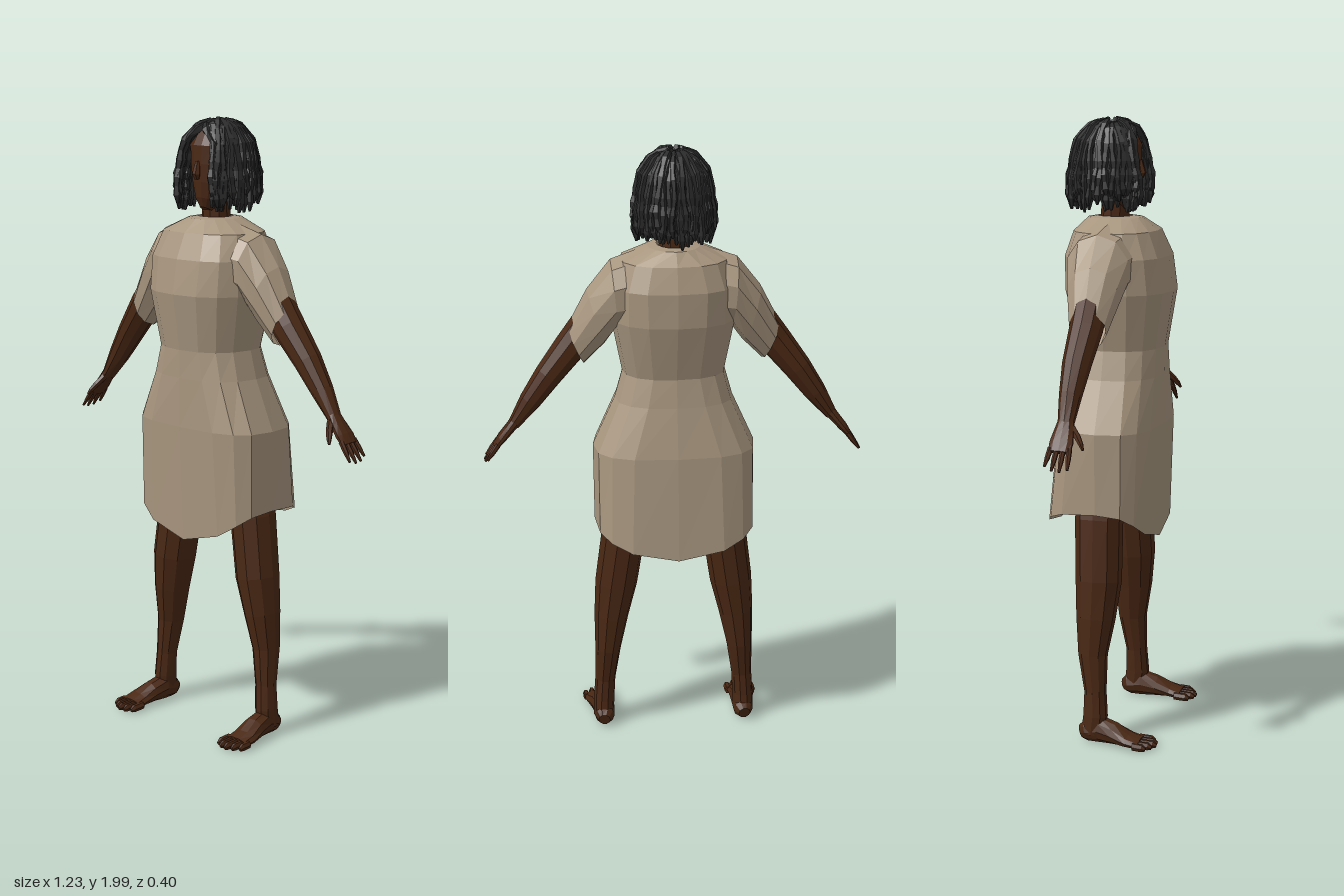
import * as THREE from 'three';

const V3 = (x, y, z) => new THREE.Vector3(x, y, z);
const cloth = new THREE.MeshStandardMaterial({ color: 0xa8967f, flatShading: true, side: THREE.DoubleSide });
const skin = new THREE.MeshStandardMaterial({ color: 0x4a2814, flatShading: true });
const hairMat = new THREE.MeshStandardMaterial({ color: 0x2b2b2c, flatShading: true });

// Skin a list of equal-sized rings; ends can be capped
function loft(rings, capped = true) {
  const n = rings[0].length, pos = [], idx = [];
  rings.forEach(r => r.forEach(p => pos.push(p.x, p.y, p.z)));
  for (let i = 0; i < rings.length - 1; i++) {
    for (let j = 0; j < n; j++) {
      const a = i * n + j, b = i * n + (j + 1) % n;
      idx.push(a, b, b + n, a, b + n, a + n);
    }
  }
  if (capped) {
    [0, rings.length - 1].forEach((i, end) => {
      const c = rings[i].reduce((s, p) => s.add(p), V3(0, 0, 0)).divideScalar(n);
      const k = pos.length / 3;
      pos.push(c.x, c.y, c.z);
      for (let j = 0; j < n; j++) {
        const a = i * n + j, b = i * n + (j + 1) % n;
        if (end) idx.push(k, a, b); else idx.push(k, b, a);
      }
    });
  }
  const g = new THREE.BufferGeometry();
  g.setAttribute('position', new THREE.Float32BufferAttribute(pos, 3));
  g.setIndex(idx);
  g.computeVertexNormals();
  return g;
}

// Limb along stations [x, y, z, half width, half depth]; depth runs along ref
function limb(stations, sides = 10, ref = V3(0, 0, 1)) {
  const c = stations.map(s => V3(s[0], s[1], s[2]));
  return loft(stations.map((s, i) => {
    const d = c[Math.min(i + 1, c.length - 1)].clone().sub(c[Math.max(i - 1, 0)]).normalize();
    const v = ref.clone().addScaledVector(d, -ref.dot(d)).normalize();
    const u = v.clone().cross(d);
    return Array.from({ length: sides }, (_, j) => {
      const t = j / sides * Math.PI * 2;
      return c[i].clone().addScaledVector(u, s[3] * Math.cos(t)).addScaledVector(v, s[4] * Math.sin(t));
    });
  }));
}

export function createModel() {
  const model = new THREE.Group();
  model.name = 'womanInDress';
  const add = (name, geo, mat, parent = model) => {
    const m = new THREE.Mesh(geo, mat);
    m.name = name;
    parent.add(m);
    return m;
  };
  const UP = V3(0, 1, 0);

  // Dress body: squarish rings [y, half width, front z, back z, squareness]
  const levels = [
    [0.76, 0.26, 0.14, -0.2, 3.4], [1.02, 0.262, 0.155, -0.17, 3], [1.18, 0.19, 0.155, -0.135, 2.6],
    [1.27, 0.165, 0.155, -0.12, 2.4], [1.45, 0.2, 0.183, -0.16, 2.4], [1.56, 0.195, 0.165, -0.16, 2.6],
    [1.64, 0.17, 0.13, -0.135, 2.4], [1.68, 0.085, 0.08, -0.1, 2], [1.685, 0.055, 0.045, -0.07, 2],
  ];
  add('dress', loft(levels.map(([y, w, zf, zb, n], i) => Array.from({ length: 16 }, (_, j) => {
    const t = j / 16 * Math.PI * 2, c = Math.cos(t), s = Math.sin(t);
    const x = -w * Math.sign(c) * Math.abs(c) ** (2 / n);
    const z = (s > 0 ? zf : -zb) * Math.sign(s) * Math.abs(s) ** (2 / n);
    // The hem dips at the front and back
    const dip = i ? 0 : (s > 0 ? 0.117 : 0.08) * (1 - (x / w) ** 2);
    return V3(x, y - dip, z);
  })), false), cloth);

  // Hips hidden under the skirt
  add('hips', limb([[0, 0.82, -0.01, 0.1, 0.07], [0, 0.92, -0.01, 0.17, 0.11], [0, 1.05, -0.01, 0.17, 0.11], [0, 1.2, 0, 0.12, 0.09]]), skin);

  for (const s of [1, -1]) {
    const side = s > 0 ? 'left' : 'right';
    const part = (name, st, ref, sides) =>
      add(side + name, limb(st.map(([x, ...r]) => [x * s, ...r]), sides, ref), skin);

    // Sleeve: [top x, top y, underside x, underside y, half depth, centre z]
    const sleeve = [
      [0.12, 1.665, 0.12, 1.42, 0.11, 0], [0.2, 1.64, 0.18, 1.42, 0.105, -0.01],
      [0.275, 1.545, 0.22, 1.365, 0.085, -0.008], [0.34, 1.42, 0.285, 1.3, 0.06, -0.004],
    ];
    add(side + 'Sleeve', loft(sleeve.map(([tx, ty, bx, by, d, z]) => Array.from({ length: 10 }, (_, j) => {
      const t = j / 10 * Math.PI * 2, c = Math.cos(t) / 2;
      return V3(s * ((tx + bx) / 2 + (tx - bx) * c), (ty + by) / 2 + (ty - by) * c, z + s * d * Math.sin(t));
    })), false), cloth);

    // Arm and hand
    part('Arm', [
      [0.17, 1.56, 0, 0.055, 0.06], [0.25, 1.46, -0.005, 0.056, 0.055], [0.325, 1.36, -0.005, 0.053, 0.052],
      [0.4, 1.265, -0.01, 0.045, 0.045], [0.46, 1.18, -0.01, 0.036, 0.035], [0.515, 1.1, -0.007, 0.02, 0.025],
    ]);
    part('Palm', [
      [0.505, 1.115, -0.007, 0.02, 0.025], [0.53, 1.085, -0.007, 0.017, 0.032],
      [0.555, 1.055, -0.007, 0.015, 0.038], [0.575, 1.03, -0.008, 0.01, 0.036],
    ]);
    [[-0.037, -0.045, 0.8], [-0.017, -0.021, 0.97], [0.003, 0.004, 1], [0.022, 0.028, 0.9]].forEach(([z0, z1, k], i) =>
      part('Finger' + (i + 1), [
        [0.567, 1.04, z0, 0.009, 0.009], [0.567 + 0.024 * k, 1.04 - 0.033 * k, (z0 + z1) / 2, 0.008, 0.008],
        [0.567 + 0.045 * k, 1.04 - 0.062 * k, z1, 0.004, 0.004],
      ], undefined, 6));
    part('Thumb', [
      [0.515, 1.095, 0.012, 0.012, 0.012], [0.53, 1.07, 0.035, 0.011, 0.011],
      [0.542, 1.05, 0.05, 0.009, 0.008], [0.55, 1.035, 0.058, 0.004, 0.004],
    ], undefined, 6);

    // Leg
    part('Leg', [
      [0.09, 0.95, -0.01, 0.085, 0.09], [0.165, 0.72, -0.015, 0.073, 0.078], [0.192, 0.53, -0.008, 0.07, 0.075],
      [0.21, 0.41, -0.012, 0.057, 0.064], [0.223, 0.29, -0.018, 0.043, 0.048], [0.233, 0.17, -0.007, 0.034, 0.036],
      [0.238, 0.09, -0.005, 0.035, 0.04], [0.24, 0.03, -0.012, 0.034, 0.04],
    ]);

    // Foot and toes
    part('Foot', [
      [0.24, 0.03, -0.054, 0.02, 0.022], [0.238, 0.036, -0.035, 0.033, 0.035], [0.238, 0.045, 0.01, 0.036, 0.044],
      [0.243, 0.037, 0.06, 0.04, 0.035], [0.25, 0.024, 0.11, 0.046, 0.022], [0.25, 0.017, 0.15, 0.047, 0.016],
    ], UP);
    [0.187, 0.2, 0.203, 0.193, 0.178].forEach((tip, i) => {
      const x = 0.207 + 0.0215 * i, r = i ? 0.0095 : 0.012;
      part('Toe' + (i + 1), [
        [x, 0.017, 0.135, r, 0.013], [x, 0.015, tip - 0.012, r, 0.013], [x, 0.011, tip, r * 0.55, 0.007],
      ], UP, 6);
    });
  }

  // Neck and head
  add('neck', limb([[0, 1.6, -0.02, 0.06, 0.06], [0, 1.67, -0.013, 0.047, 0.045], [0, 1.78, -0.008, 0.045, 0.045]]), skin);
  add('head', limb([
    [0, 1.705, 0.03, 0.02, 0.026], [0, 1.73, 0.018, 0.042, 0.05], [0, 1.78, 0.003, 0.06, 0.07],
    [0, 1.84, -0.008, 0.072, 0.083], [0, 1.9, -0.015, 0.077, 0.09], [0, 1.95, -0.02, 0.06, 0.07],
    [0, 1.975, -0.022, 0.03, 0.035],
  ], 14), skin);
  add('nose', limb([[0, 1.86, 0.07, 0.008, 0.008], [0, 1.82, 0.078, 0.014, 0.013], [0, 1.805, 0.074, 0.009, 0.007]], 6), skin);

  // Hair: a base cap covered by three layers of hanging locks
  const hair = new THREE.Group();
  hair.name = 'hair';
  model.add(hair);
  const cap = new THREE.SphereGeometry(1, 20, 14).scale(0.095, 0.112, 0.1).translate(0, 1.87, -0.035);
  add('hairBase', cap, hairMat, hair);
  let seed = 7;
  const rnd = () => (seed = (seed * 16807) % 2147483647) / 2147483647;
  [0.82, 0.91, 1].forEach((scale, layer) => {
    const count = 46;
    for (let k = 0; k < count; k++) {
      const base = ((k + rnd() * 0.8) / count * 2 - 1) * Math.PI;
      // Locks at the front are swept aside to leave the face open
      const open = 1.5 - 0.85 * scale + rnd() * 0.12;
      const target = Math.sign(base) * Math.max(Math.abs(base), open);
      const start = 0.12 + rnd() * 0.5, end = 1.7 + rnd() * 0.06;
      const size = scale * (0.96 + rnd() * 0.06), thick = 0.009 + rnd() * 0.004, phase = rnd() * 6;
      const st = [];
      for (let i = 0; i <= 10; i++) {
        const u = i / 10, arc = Math.min(1, u * 2), drop = Math.max(0, u * 2 - 1);
        const phi = start + (Math.PI / 2 - start) * arc;
        const th = base + (target - base) * Math.min(1, u * 3.5) + Math.sin(u * 9 + phase) * 0.035;
        const r = Math.sin(phi) * size * (1 + 0.09 * Math.sin(drop * 2.4));
        const w = thick * (i % 2 ? 1.15 : 0.8) * (i === 10 ? 0.5 : 1);
        st.push([0.115 * r * Math.sin(th), 1.86 + 0.127 * size * Math.cos(phi) - (1.86 - end) * drop,
          -0.023 + 0.128 * r * Math.cos(th), w, w]);
      }
      add('lock' + (layer * count + k), limb(st, 5, V3(Math.cos(base), 0.1, -Math.sin(base))), hairMat, hair);
    }
  });
  return model;
}
